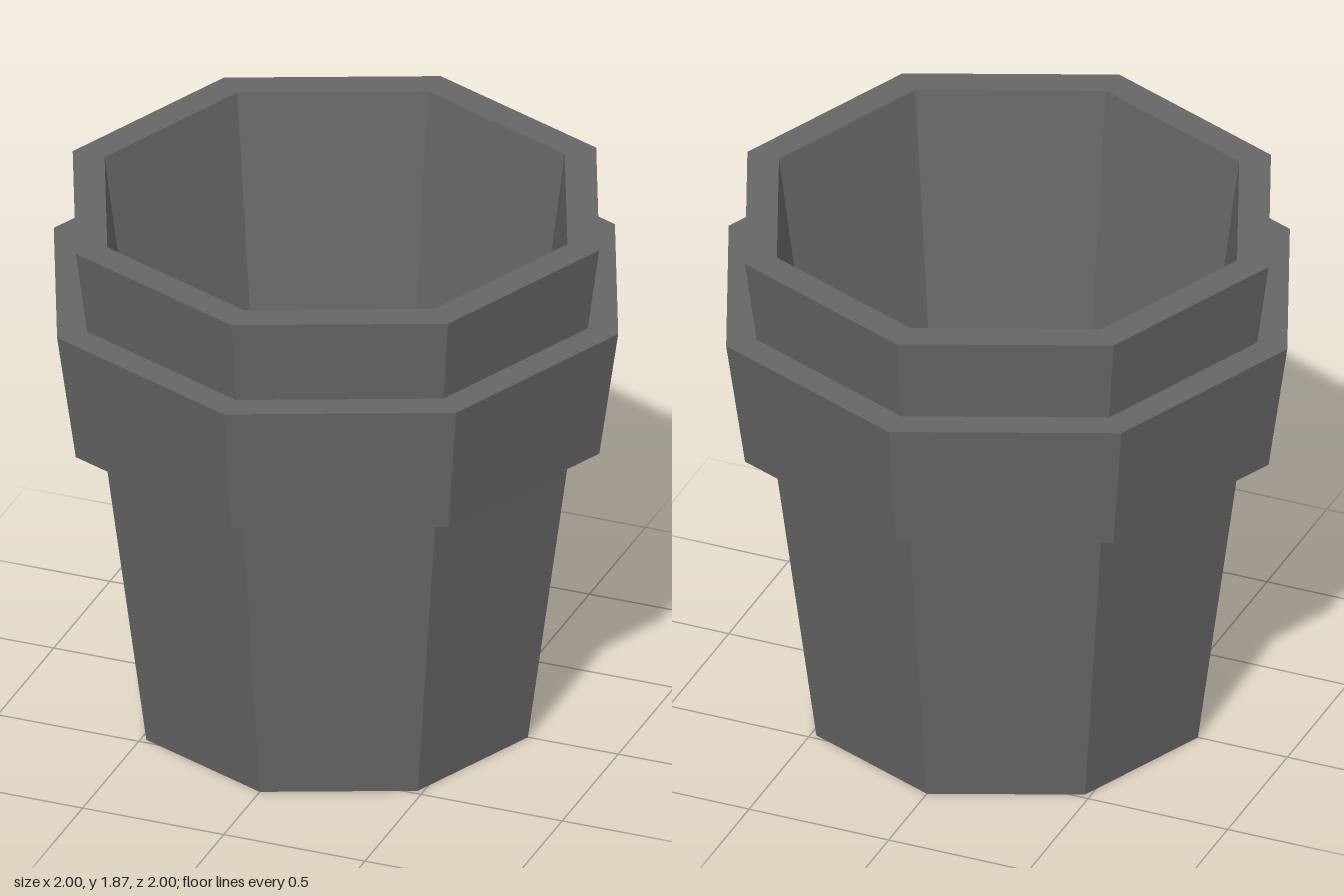
import * as THREE from 'three';

const SIDES = 8;

// Faceted octagonal surface turned from a [radius, height] profile
function turned(name, profile, material) {
  const points = profile.map(([r, y]) => new THREE.Vector2(r, y));
  const geometry = new THREE.LatheGeometry(points, SIDES).toNonIndexed();
  geometry.computeVertexNormals();
  const mesh = new THREE.Mesh(geometry, material);
  mesh.name = name;
  return mesh;
}

export function createModel() {
  const grey = new THREE.MeshStandardMaterial({ color: 0x666666 });
  grey.name = 'dark grey';

  const pot = new THREE.Group();
  pot.name = 'pot';
  pot.add(
    // underside and tapered lower wall
    turned('body', [[0, 0], [0.68, 0], [0.83, 1.11]], grey),
    // projecting band with its lower and upper ledges
    turned('band', [[0.83, 1.11], [0.933, 1.11], [1, 1.57], [0.892, 1.57]], grey),
    // upper wall and flat lip
    turned('rim', [[0.892, 1.57], [0.933, 1.87], [0.82, 1.87]], grey),
    // hollow inside, down to the floor
    turned('interior', [[0.82, 1.87], [0.594, 0.2], [0, 0.2]], grey),
  );
  return pot;
}
